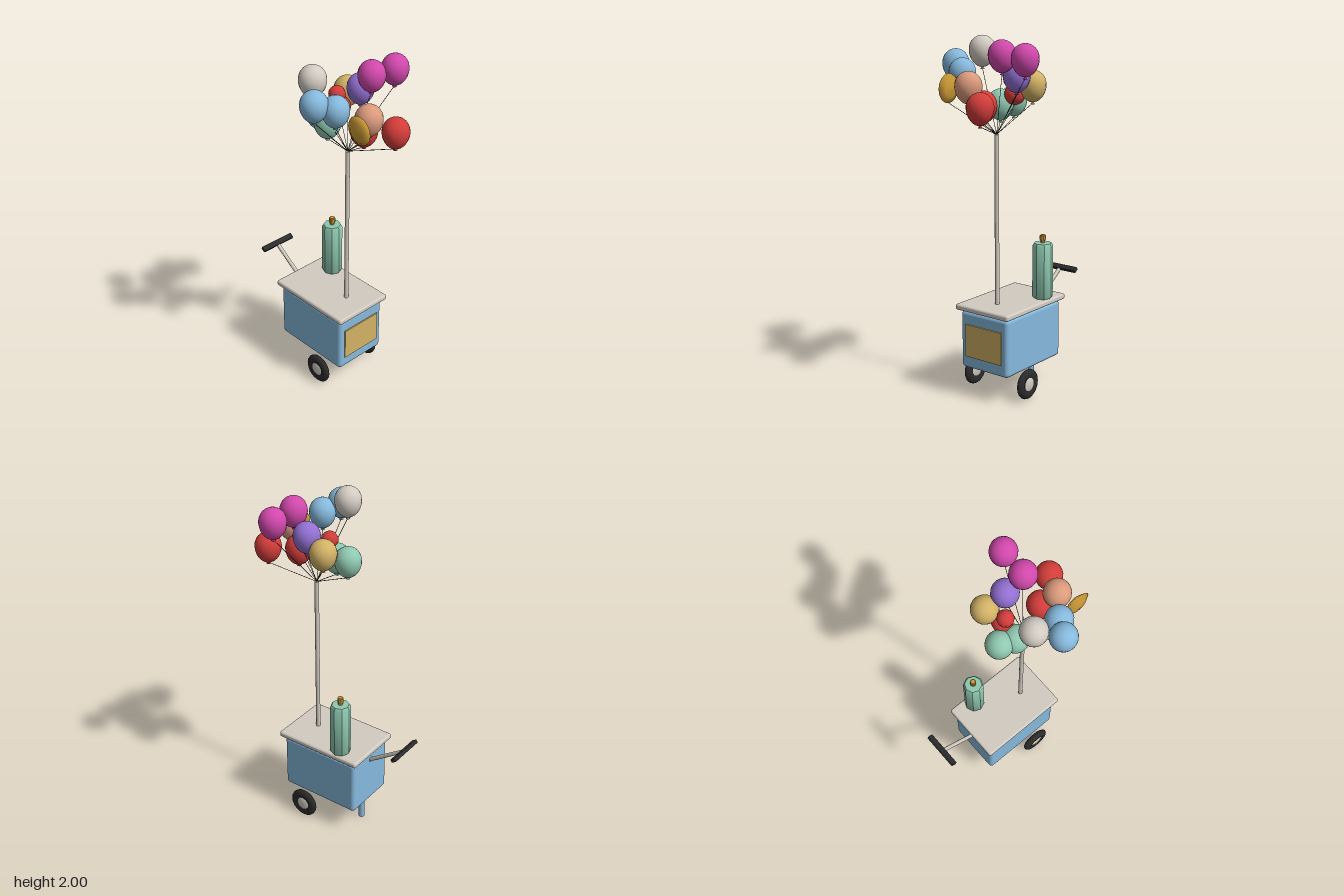
import * as THREE from 'three';
import { RoundedBoxGeometry } from 'three/addons/geometries/RoundedBoxGeometry.js';
import { toCreasedNormals } from 'three/addons/utils/BufferGeometryUtils.js';

const paint = (name, color) => {
  const m = new THREE.MeshStandardMaterial({ color });
  m.name = name;
  return m;
};

export function createModel() {
  const root = new THREE.Group();
  root.name = 'balloonCart';
  const blue = paint('sky blue', 0x86b9dd), green = paint('mint', 0x8fc8b0);
  const cream = paint('warm white', 0xd2cbc2), black = paint('rubber black', 0x2b2b2b);
  const gold = paint('gold', 0xcc9a35), yellow = paint('straw', 0xd2b266);
  const red = paint('red', 0xd33d3a), pink = paint('magenta', 0xd148ac);
  const purple = paint('violet', 0x9270d2), salmon = paint('salmon', 0xdb9a7c);
  const MID = -0.005; // centre line of the cart in z

  const add = (name, geo, mat, x = 0, y = 0, z = 0, parent = root) => {
    const mesh = new THREE.Mesh(geo, mat);
    mesh.name = name;
    mesh.position.set(x, y, z);
    parent.add(mesh);
    return mesh;
  };
  const lathe = (pts, sides, crease) => {
    const g = new THREE.LatheGeometry(pts.map(p => new THREE.Vector2(...p)), sides);
    return crease ? toCreasedNormals(g, crease) : g;
  };
  // Straight rod between two points
  const rod = (name, a, b, r, sides, mat, parent = root) => {
    const from = new THREE.Vector3(...a), to = new THREE.Vector3(...b);
    const dir = to.clone().sub(from);
    const mid = from.add(to).multiplyScalar(0.5);
    const mesh = add(name, new THREE.CylinderGeometry(r, r, dir.length(), sides), mat, mid.x, mid.y, mid.z, parent);
    mesh.quaternion.setFromUnitVectors(new THREE.Vector3(0, 1, 0), dir.normalize());
    return mesh;
  };

  // Cart body, counter and display panel
  add('body', new RoundedBoxGeometry(0.495, 0.335, 0.33, 3, 0.022), blue, 0.018, 0.323, MID);
  add('counter', new RoundedBoxGeometry(0.54, 0.034, 0.37, 2, 0.012), cream, 0.02, 0.512, MID);
  add('neck', new THREE.BoxGeometry(0.45, 0.02, 0.29), blue, 0.018, 0.49, MID);
  add('sidePanel', new THREE.BoxGeometry(0.009, 0.188, 0.255), yellow, 0.268, 0.322, MID);

  // Front leg
  rod('leg', [-0.172, 0, MID], [-0.172, 0.17, MID], 0.018, 10, blue);

  // Wheels: rounded tyre with a hub on both faces
  const tyre = lathe([[0, -0.014], [0.045, -0.014], [0.054, -0.02], [0.072, -0.018], [0.084, -0.009],
    [0.087, 0], [0.084, 0.009], [0.072, 0.018], [0.054, 0.02], [0.045, 0.014], [0, 0.014]], 20);
  const hub = lathe([[0, -0.019], [0.03, -0.018], [0.042, -0.013], [0.042, 0.013], [0.03, 0.018], [0, 0.019]], 10, 0.6);
  for (const side of [1, -1]) {
    const wheel = new THREE.Group();
    wheel.name = side > 0 ? 'frontWheel' : 'backWheel';
    wheel.position.set(0.113, 0.088, MID + side * 0.19);
    wheel.rotation.x = Math.PI / 2;
    add('tyre', tyre, black, 0, 0, 0, wheel);
    add('hub', hub, cream, 0, 0, 0, wheel);
    root.add(wheel);
  }

  // Push handle with cross grip
  rod('handleBar', [-0.215, 0.435, MID], [-0.455, 0.603, MID], 0.012, 8, cream);
  const grip = add('grip', new RoundedBoxGeometry(0.034, 0.022, 0.226, 1, 0.005), black, -0.457, 0.607, -0.008);
  grip.rotation.z = -0.6;

  // Gas tank and valve
  const tank = lathe([[0, 0.527], [0.05, 0.527], [0.059, 0.54], [0.059, 0.835], [0.05, 0.85], [0, 0.852]], 8, 0.6);
  add('gasTank', tank, green, -0.108, 0, -0.132);
  const valve = lathe([[0.013, 0.845], [0.013, 0.865], [0.018, 0.868], [0.018, 0.892], [0.014, 0.897], [0, 0.897]], 8, 0.6);
  add('valve', valve, gold, -0.108, 0, -0.132);

  // Balloon pole
  const TOP = [0.145, 1.485, MID];
  rod('pole', [0.145, 0.525, MID], TOP, 0.0125, 12, cream);

  // Teardrop balloon with a small knot
  const profile = [[0, -0.1], [0.012, -0.1], [0.005, -0.089]];
  for (let i = 1; i <= 16; i++) {
    const t = (i / 16) * Math.PI;
    const y = -Math.cos(t);
    profile.push([0.074 * Math.sin(t) * (1 + 0.06 * y), y < 0 ? 0.09 * y : 0.084 * y]);
  }
  const balloonGeo = lathe(profile, 20);
  const string = (x, y, z) => rod('string', TOP, [x, y, z], 0.0018, 4, black);

  const balloons = [
    [pink, 0.227, 1.907, -0.26], [pink, 0.217, 1.917, -0.1], [purple, 0.118, 1.805, -0.12],
    [yellow, 0, 1.745, -0.138], [red, 0.398, 1.66, -0.1], [red, 0.26, 1.65, -0.008],
    [salmon, 0.333, 1.755, 0.032], [blue, 0.227, 1.81, 0.163], [blue, 0.17, 1.85, 0.257],
    [cream, 0.058, 1.92, 0.163], [green, -0.043, 1.65, 0.024], [green, 0.045, 1.635, 0.048],
  ];
  for (const [mat, x, y, z] of balloons) {
    add('balloon', balloonGeo, mat, x, y, z);
    string(x, y - 0.095, z);
  }

  // Flat foil balloon
  const foil = add('foilBalloon', lathe([[0, -0.023], [0.045, -0.019], [0.079, 0], [0.045, 0.019], [0, 0.023]], 16), gold, 0.37, 1.745, 0.137);
  foil.rotation.x = Math.PI / 2;
  string(0.37, 1.667, 0.137);

  // Figure balloon: round body with a faceted head
  add('figureBody', new THREE.SphereGeometry(0.058, 14, 10), red, 0.04, 1.695, -0.048);
  add('figureHead', new THREE.SphereGeometry(0.047, 10, 8), red, 0.04, 1.775, -0.025);
  string(0.04, 1.64, -0.048);

  return root;
}
